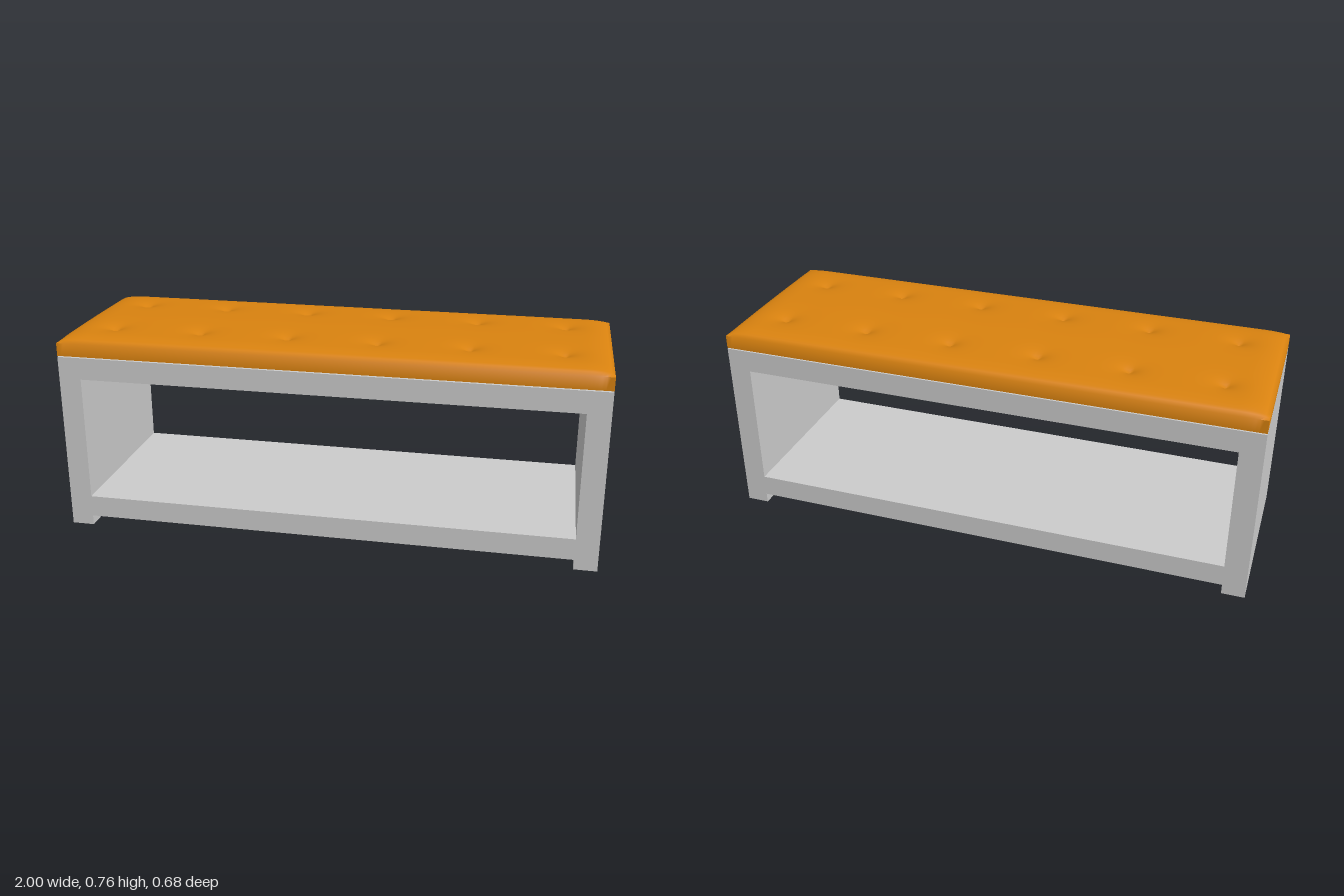
import * as THREE from 'three';
import { toCreasedNormals } from 'three/addons/utils/BufferGeometryUtils.js';

const HALF_W = 1, HALF_D = 0.338, PANEL = 0.084;
const SEAT_BOTTOM = 0.682, SEAT_EDGE = 0.731;

// Quarter-ellipse rise from the cushion edge inwards
const roundEdge = (d, width) => Math.sqrt(1 - (1 - THREE.MathUtils.clamp(d / width, 0, 1)) ** 2);

// Height of the padded top: rounded rim, gentle crown, tufted dimples
function paddedHeight(x, z) {
  const rim = roundEdge(HALF_W - Math.abs(x), 0.1) * roundEdge(HALF_D - Math.abs(z), 0.085);
  const crown = Math.cos((x / HALF_W) * Math.PI / 2) ** 0.3 * Math.cos((z / HALF_D) * Math.PI / 2);
  let y = SEAT_EDGE + 0.022 * rim + 0.009 * crown;
  for (let i = 0; i < 6; i++) {
    for (const side of [-1, 1]) {
      const r = Math.hypot(x - (i - 2.5) / 3, z - side * 0.17);
      y -= 0.024 * Math.exp(-r / 0.032) * rim;
    }
  }
  return y;
}

function cushionGeometry() {
  const geometry = new THREE.BoxGeometry(HALF_W * 2, 1, HALF_D * 2, 144, 1, 56);
  const p = geometry.attributes.position;
  for (let i = 0; i < p.count; i++) {
    p.setY(i, p.getY(i) > 0 ? paddedHeight(p.getX(i), p.getZ(i)) : SEAT_BOTTOM);
  }
  return toCreasedNormals(geometry, 1.0);
}

export function createModel() {
  const group = new THREE.Group();
  const grey = new THREE.MeshStandardMaterial({ color: 0xcccccc });
  const orange = new THREE.MeshStandardMaterial({ color: 0xd9820f });

  const add = (name, geometry, material) => {
    const mesh = new THREE.Mesh(geometry, material);
    mesh.name = name;
    group.add(mesh);
    return mesh;
  };
  const board = (name, width, y0, y1, x = 0) =>
    add(name, new THREE.BoxGeometry(width, y1 - y0, HALF_D * 2), grey).position.set(x, (y0 + y1) / 2, 0);

  // Frame: two full-height ends joined by a top board and a raised shelf
  const inner = 2 * (HALF_W - PANEL);
  board('leftSidePanel', PANEL, 0, 0.678, HALF_W - PANEL / 2);
  board('rightSidePanel', PANEL, 0, 0.678, -HALF_W + PANEL / 2);
  board('topBoard', inner, 0.595, 0.678);
  board('lowerShelf', inner, 0.038, 0.12);

  // Thin recessed base hidden under the cushion
  add('cushionBase', new THREE.BoxGeometry(1.96, 0.006, 0.64), grey).position.y = 0.68;

  // Tufted seat
  add('seatCushion', cushionGeometry(), orange);
  return group;
}
